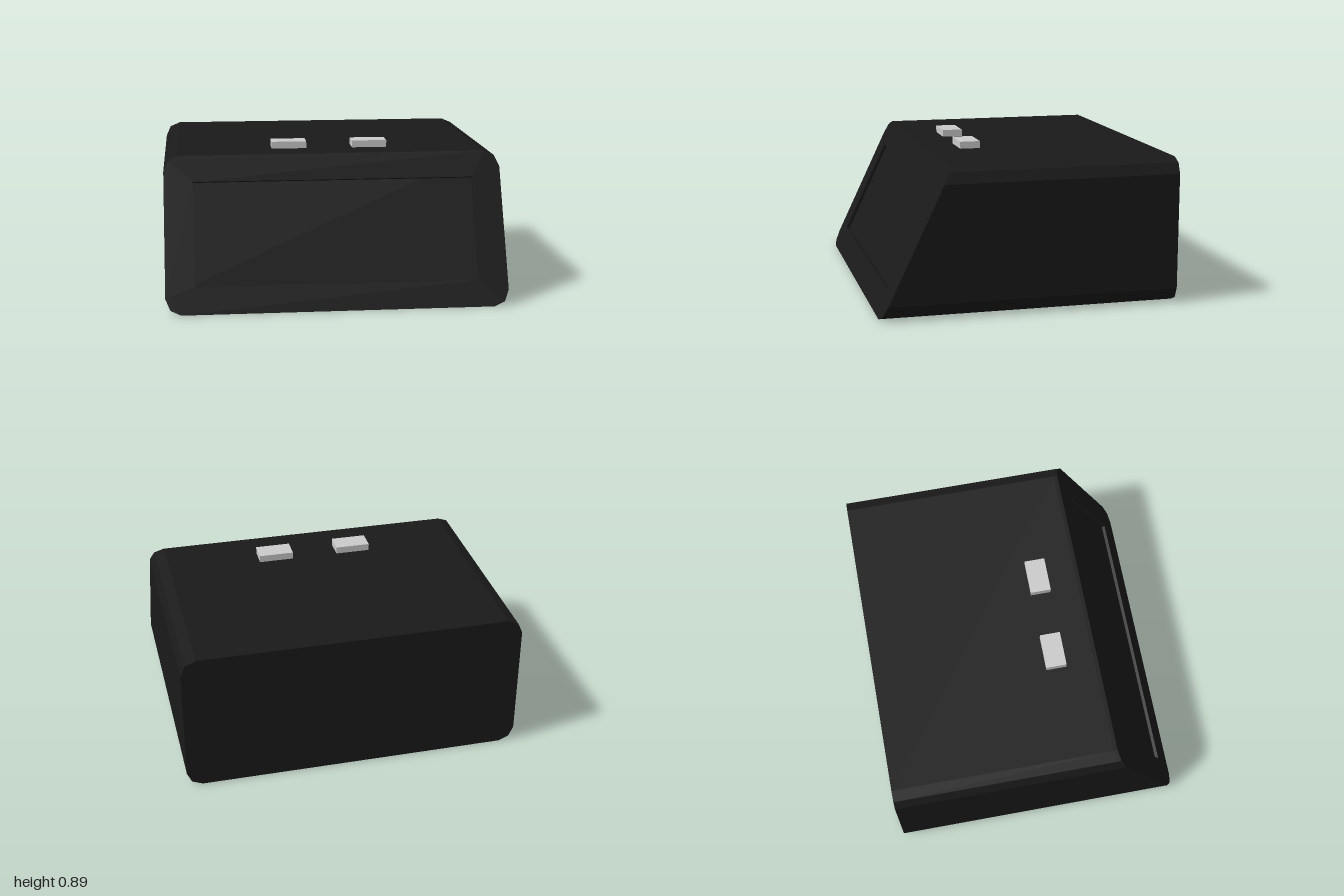
import * as THREE from 'three';

const HEIGHT = 0.853, BACK = -0.872, FRONT = 0.872, FRONT_TOP = 0.465;
const SLOPE = (FRONT - FRONT_TOP) / HEIGHT;
const RECESS = 0.02;
const COS = 1 / Math.hypot(1, SLOPE);
const THICK = RECESS / COS; // recess depth measured along z

// z of the slanted front at a given height
const faceZ = (y) => FRONT - SLOPE * y;

// Rounded outline with two facets per corner
function outline() {
  const quarter = [[1, 0.765], [0.972, 0.827], [0.91, HEIGHT]];
  const mirrorX = (p) => [-p[0], p[1]];
  const mirrorY = (p) => [p[0], HEIGHT - p[1]];
  const points = [
    ...quarter,
    ...quarter.map(mirrorX).reverse(),
    ...quarter.map(mirrorX).map(mirrorY),
    ...quarter.map(mirrorY).reverse(),
  ];
  return new THREE.Shape(points.map(([x, y]) => new THREE.Vector2(x, y)));
}

// Extrude a shape by one unit, then place every vertex by a rule
function extrudeTo(shape, rule) {
  const geometry = new THREE.ExtrudeGeometry(shape, { depth: 1, bevelEnabled: false });
  const pos = geometry.attributes.position;
  for (let i = 0; i < pos.count; i++) {
    const [x, y, z] = rule(pos.getX(i), pos.getY(i), pos.getZ(i) > 0.5);
    pos.setXYZ(i, x, y, z);
  }
  geometry.computeVertexNormals();
  return geometry;
}

export function createModel() {
  const group = new THREE.Group();
  const black = new THREE.MeshStandardMaterial({ color: 0x1a1a1a, flatShading: true });
  const grey = new THREE.MeshStandardMaterial({ color: 0xcccccc, flatShading: true });

  const add = (name, geometry, material) => {
    const mesh = new THREE.Mesh(geometry, material);
    mesh.name = name;
    group.add(mesh);
    return mesh;
  };

  // Housing, its front end forming the floor of the screen recess
  add('housing', extrudeTo(outline(), (x, y, front) =>
    [x, y, front ? faceZ(y) - THICK : BACK]), black);

  // Slanted frame around the recessed screen
  const frame = outline();
  const w = 0.83, low = 0.145, high = HEIGHT - 0.145;
  frame.holes.push(new THREE.Path([
    new THREE.Vector2(-w, low), new THREE.Vector2(-w, high),
    new THREE.Vector2(w, high), new THREE.Vector2(w, low),
  ]));
  add('screenFrame', extrudeTo(frame, (x, y, front) => {
    if (front) return [x, y, faceZ(y)];
    // recess walls run square to the slanted face
    const inner = Math.abs(x) < w + 0.01 && y > 0.13 && y < high + 0.01;
    const yy = inner ? y - RECESS * SLOPE * COS : y;
    return [x, yy, faceZ(yy) - THICK];
  }), black);

  // Two buttons on the top
  for (const [name, side] of [['leftButton', 1], ['rightButton', -1]]) {
    add(name, new THREE.BoxGeometry(0.21, 0.084, 0.122), grey)
      .position.set(side * 0.245, HEIGHT, 0.211);
  }
  return group;
}
